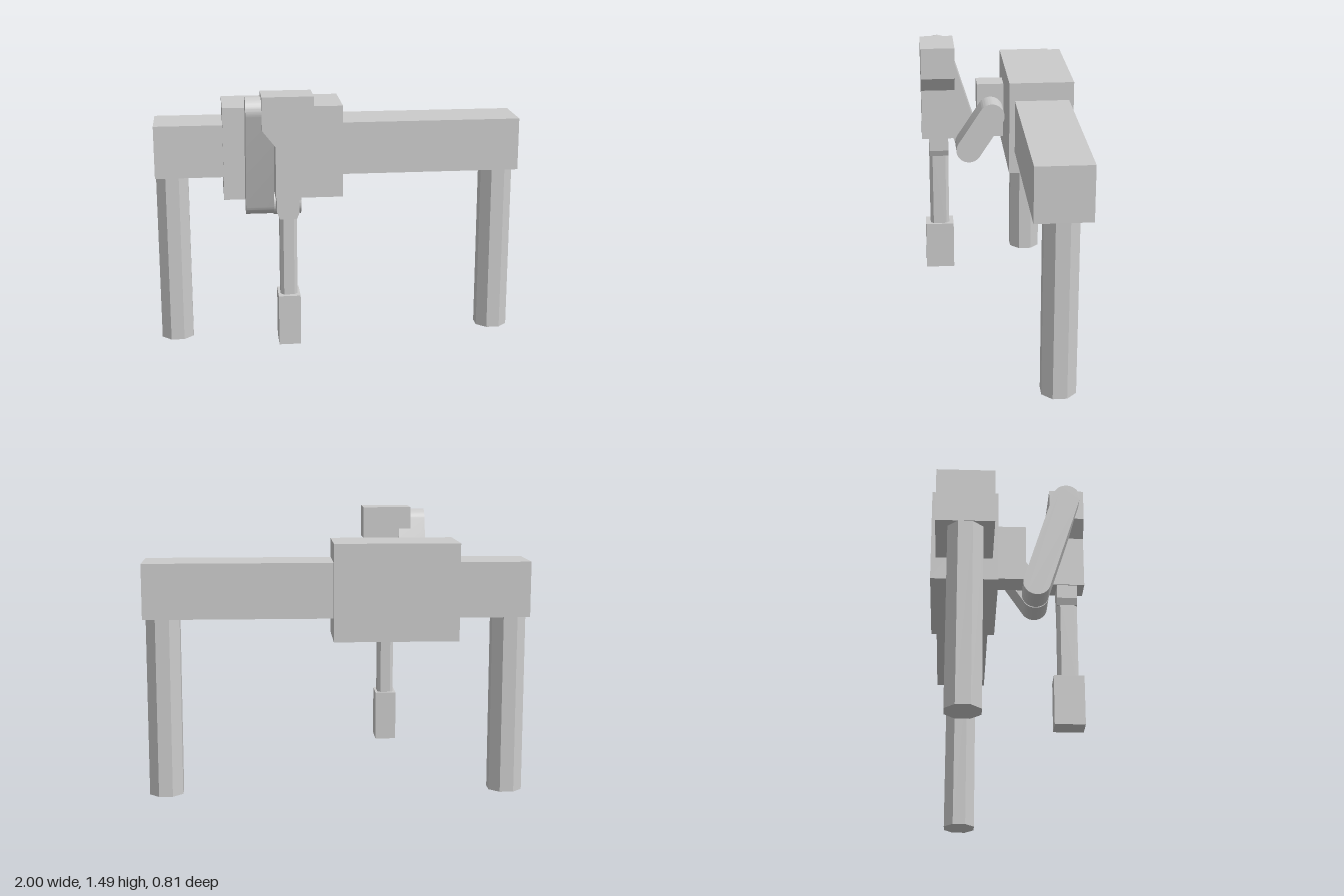
import * as THREE from 'three';
import { toCreasedNormals } from 'three/addons/utils/BufferGeometryUtils.js';

const material = new THREE.MeshStandardMaterial({ color: 0xcccccc });
const flatMaterial = new THREE.MeshStandardMaterial({ color: 0xcccccc, flatShading: true });

export function createModel() {
  const group = new THREE.Group();

  const add = (name, geometry, mat = flatMaterial) => {
    const mesh = new THREE.Mesh(geometry, mat);
    mesh.name = name;
    group.add(mesh);
    return mesh;
  };

  // Box given by its limits on each axis
  const box = (name, [x0, x1], [y0, y1], [z0, z1]) =>
    add(name, new THREE.BoxGeometry(x1 - x0, y1 - y0, z1 - z0))
      .position.set((x0 + x1) / 2, (y0 + y1) / 2, (z0 + z1) / 2);

  const extrude = (points, depth) => new THREE.ExtrudeGeometry(
    new THREE.Shape(points.map(([x, y]) => new THREE.Vector2(x, y))),
    { depth, bevelEnabled: false });

  // Round-ended bar between two (z, y) pivots, spanning x0..x1
  const link = (name, [za, ya], [zb, yb], r, x0, x1) => {
    const a = Math.atan2(yb - ya, zb - za);
    const shape = new THREE.Shape();
    shape.absarc(zb, yb, r, a - Math.PI / 2, a + Math.PI / 2, false);
    shape.absarc(za, ya, r, a + Math.PI / 2, a + Math.PI * 1.5, false);
    const g = new THREE.ExtrudeGeometry(shape, { depth: x1 - x0, bevelEnabled: false, curveSegments: 24 });
    g.rotateY(-Math.PI / 2);
    g.translate(x1, 0, 0);
    add(name, toCreasedNormals(g, 0.5), material);
  };

  // Gantry: beam, legs and sliding carriage
  box('beam', [-1, 1], [0.955, 1.243], [-0.38, -0.09]);
  for (const [name, x] of [['rightLeg', -0.91], ['leftLeg', 0.904]]) {
    const g = new THREE.CylinderGeometry(0.095, 0.095, 0.955, 8);
    g.rotateY(Math.PI / 8);
    add(name, g).position.set(x, 0.4775, -0.233);
  }
  box('carriage', [-0.63, 0.02], [0.835, 1.342], [-0.405, -0.06]);

  // Folding arm
  box('shoulderBlock', [-0.5, -0.375], [0.91, 1.22], [-0.06, 0.088]);
  link('lowerLink', [0.015, 1.075], [0.143, 0.88], 0.071, -0.375, -0.23);
  link('upperLink', [0.143, 0.885], [0.305, 1.4], 0.071, -0.52, -0.375);

  // Tool housing, wide at the top and narrow below
  const cx = -0.309;
  const symmetric = (half) => [...half, ...half.map(([x, y]) => [-x, y]).reverse()];
  add('toolHousing', extrude(symmetric(
    [[0.064, 0.95], [0.064, 1.23], [0.131, 1.315], [0.131, 1.485]]), 0.183))
    .position.set(cx, 0, 0.22);

  // Collar tapering into the rod
  add('collar', extrude(symmetric([[0.044, 0.84], [0.058, 0.875], [0.058, 0.95]]), 0.106))
    .position.set(cx, 0, 0.258);

  // Rod with chamfered corners
  const w = 0.044, d = 0.053, c = 0.017;
  const rod = extrude(symmetric([[w - c, -d], [w, c - d], [w, d - c], [w - c, d]]), 0.45);
  rod.rotateX(-Math.PI / 2);
  add('rod', rod).position.set(cx, 0.42, 0.311);

  box('toolFoot', [-0.366, -0.252], [0.162, 0.43], [0.234, 0.391]);
  return group;
}
